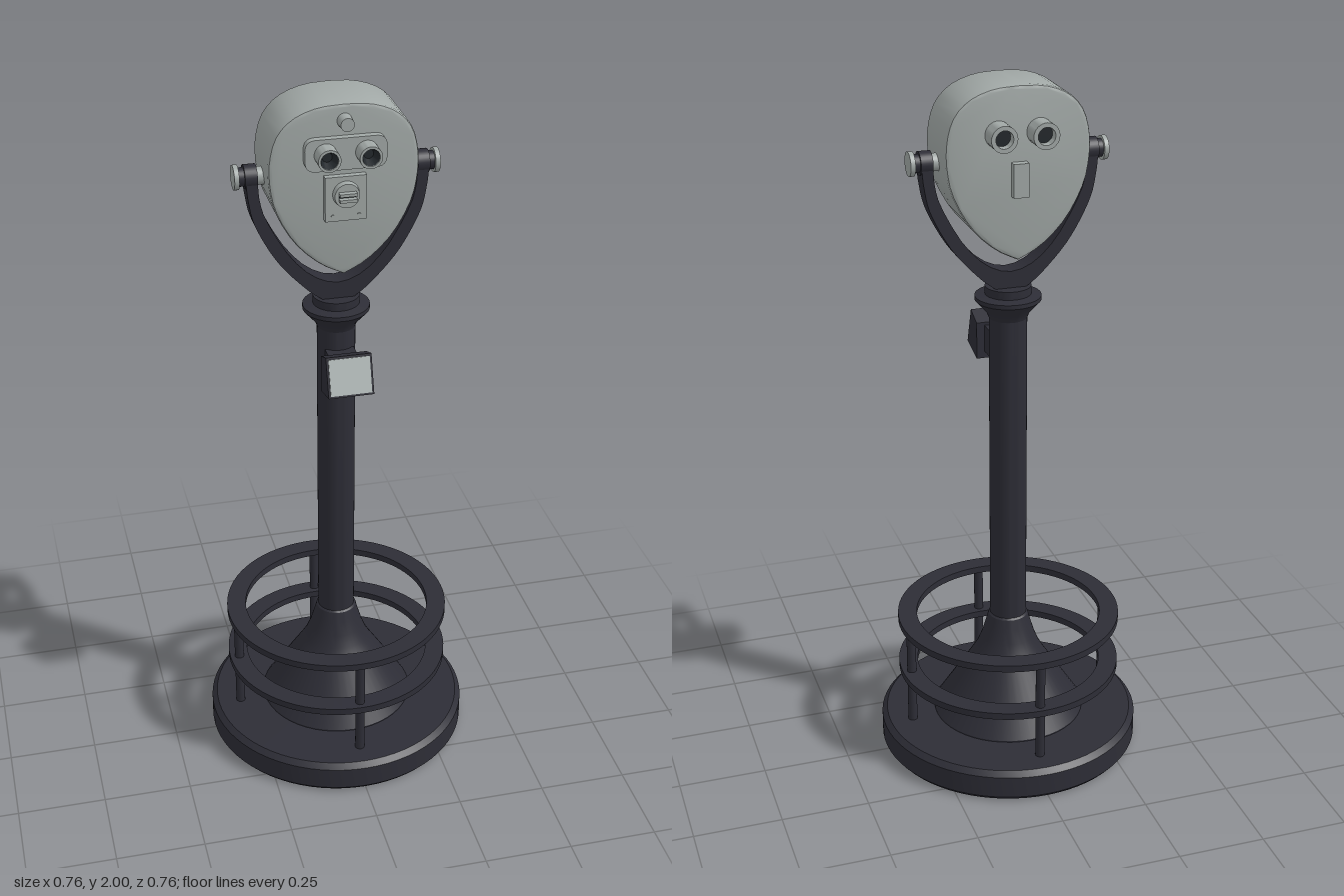
import * as THREE from 'three';
import { toCreasedNormals } from 'three/addons/utils/BufferGeometryUtils.js';

const iron = new THREE.MeshStandardMaterial({ color: 0x2d2d36 });
iron.name = 'dark painted iron';
const grey = new THREE.MeshStandardMaterial({ color: 0xa1a8a6 });
grey.name = 'grey painted metal';
const pale = new THREE.MeshStandardMaterial({ color: 0xb2bab9 });
pale.name = 'pale sign face';
const glass = new THREE.MeshStandardMaterial({ color: 0x23282c });
glass.name = 'dark glass';

const V = (x, y) => new THREE.Vector2(x, y);

export function createModel() {
  const model = new THREE.Group();
  model.name = 'coinViewer';

  function add(name, geo, mat, x = 0, y = 0, z = 0, parent = model) {
    const m = new THREE.Mesh(geo, mat);
    m.name = name;
    m.position.set(x, y, z);
    parent.add(m);
    return m;
  }
  const lathe = (pts, seg = 48) =>
    toCreasedNormals(new THREE.LatheGeometry(pts.map(p => V(...p)), seg), 0.5);
  const extrude = (shape, z0, z1, bevel = 0, seg = 16) => {
    const g = new THREE.ExtrudeGeometry(shape, {
      depth: z1 - z0 - 2 * bevel, curveSegments: seg, bevelEnabled: bevel > 0,
      bevelThickness: bevel, bevelSize: bevel, bevelOffset: -bevel, bevelSegments: 2,
    });
    g.translate(0, 0, z0 + bevel);
    return toCreasedNormals(g, 0.5);
  };
  // disc whose axis runs along z, from z0 to z1
  const discZ = (r, z0, z1, r2 = r) =>
    new THREE.CylinderGeometry(r2, r, z1 - z0, 32).rotateX(Math.PI / 2).translate(0, 0, (z0 + z1) / 2);

  // round base, flared foot, column and collar
  add('base', lathe([[0, 0], [0.37, 0], [0.38, 0.012], [0.38, 0.077], [0.365, 0.092], [0, 0.092]], 72), iron);
  add('foot', lathe([[0.222, 0.09], [0.222, 0.096], [0.106, 0.275], [0.092, 0.3], [0.078, 0.335],
    [0.066, 0.375], [0.058, 0.405], [0.053, 0.41]]), iron);
  add('column', lathe([[0.053, 0.38], [0.053, 1.42]], 40), iron);
  add('collar', lathe([[0.053, 1.335], [0.06, 1.352], [0.092, 1.388], [0.092, 1.4], [0.064, 1.405],
    [0.064, 1.428], [0, 1.428]]), iron);

  // foot rail: two flat rings on four posts
  for (const y of [0.247, 0.404]) {
    add('railRing', lathe([[0.27, -0.01], [0.325, -0.01], [0.325, 0.01], [0.27, 0.01], [0.27, -0.01]], 72), iron, 0, y);
  }
  for (let i = 0; i < 4; i++) {
    const a = i * Math.PI / 2;
    add('railPost', new THREE.CylinderGeometry(0.0135, 0.0135, 0.315, 16), iron,
      0.298 * Math.cos(a), 0.25, 0.298 * Math.sin(a));
  }

  // sign box with slanted face, on a bracket
  const sign = new THREE.Group();
  sign.name = 'signBox';
  model.add(sign);
  add('signBracket', new THREE.BoxGeometry(0.08, 0.078, 0.06), iron, 0, 1.242, 0.07, sign);
  const side = new THREE.Shape([V(-0.18, 1.205), V(-0.09, 1.183), V(-0.09, 1.29), V(-0.145, 1.312)]);
  add('signCase', extrude(side, -0.063, 0.063).rotateY(Math.PI / 2).scale(1, 1, 1), iron, 0, 0, 0, sign);
  const face = add('signFace', new THREE.BoxGeometry(0.114, 0.1, 0.004), pale, 0, 1.2585, 0.1635, sign);
  face.rotation.x = -Math.atan2(0.035, 0.107);

  // yoke
  const outer = [[0.245, 1.785], [0.24, 1.73], [0.222, 1.655], [0.165, 1.55], [0.09, 1.465], [0.04, 1.425]];
  const inner = [[0.214, 1.785], [0.21, 1.73], [0.192, 1.67], [0.135, 1.568], [0.07, 1.5], [0, 1.475]];
  const curve = pts => new THREE.SplineCurve(pts.map(p => V(...p))).getPoints(24);
  const mirror = pts => pts.map(p => [-p[0], p[1]]).reverse();
  add('yoke', extrude(new THREE.Shape([
    ...curve(mirror(outer).reverse()), ...curve(outer.slice().reverse()),
    ...curve([...inner, ...mirror(inner).slice(1)]),
  ]), -0.028, 0.028), iron);

  // pivots on both sides
  for (const s of [-1, 1]) {
    const pivot = new THREE.Group();
    pivot.name = s > 0 ? 'leftPivot' : 'rightPivot';
    model.add(pivot);
    const discX = (name, r, x0, x1, mat) =>
      add(name, new THREE.CylinderGeometry(r, r, x1 - x0, 32).rotateZ(Math.PI / 2), mat,
        s * (x0 + x1) / 2, 1.79, 0, pivot);
    discX('pivotShaft', 0.024, 0.18, 0.216, grey);
    discX('yokeBoss', 0.032, 0.214, 0.247, iron);
    discX('pivotWasher', 0.025, 0.247, 0.262, iron);
    discX('pivotCap', 0.033, 0.262, 0.275, grey);
  }

  // head: teardrop housing
  const head = new THREE.Group();
  head.name = 'head';
  model.add(head);
  const half = [[0, 2], [0.07, 1.995], [0.135, 1.97], [0.178, 1.925], [0.197, 1.86], [0.197, 1.79],
    [0.18, 1.715], [0.132, 1.628], [0.065, 1.562], [0, 1.527]];
  const rightSide = curve(half);
  const leftSide = rightSide.slice(1, -1).map(p => V(-p.x, p.y)).reverse();
  add('housing', extrude(new THREE.Shape([...rightSide, ...leftSide].reverse()), -0.093, 0.092, 0.009), grey, 0, 0, 0, head);

  // eyepiece plate
  const plate = new THREE.Shape();
  const [w, h, r] = [0.108, 0.043, 0.03];
  plate.moveTo(-w + r, -h).lineTo(w - r, -h).quadraticCurveTo(w, -h, w, -h + r)
    .lineTo(w, h - r).quadraticCurveTo(w, h, w - r, h)
    .lineTo(-w + r, h).quadraticCurveTo(-w, h, -w, h - r)
    .lineTo(-w, -h + r).quadraticCurveTo(-w, -h, -w + r, -h);
  add('eyepiecePlate', extrude(plate, 0.09, 0.112), grey, 0, 1.873, 0, head);

  // eyepieces in front, objectives behind
  const barrel = (rOut, rIn, len) => lathe([[rOut, 0], [rOut, len], [rIn, len], [rIn, 0.008]], 32);
  for (const s of [-1, 1]) {
    add('eyepiece', barrel(0.03, 0.023, 0.05).rotateX(Math.PI / 2), grey, s * 0.054, 1.875, 0.109, head);
    add('eyepieceCup', lathe([[0.0228, 0.047], [0.013, 0.02]], 32).rotateX(Math.PI / 2), glass, s * 0.054, 1.875, 0.109, head)
    add('eyepieceLens', discZ(0.022, 0.112, 0.126), glass, s * 0.054, 1.875, 0, head);
    add('objective', barrel(0.036, 0.024, 0.06).rotateX(-Math.PI / 2), grey, s * 0.057, 1.875, -0.09, head);
    add('objectiveLens', discZ(0.0238, -0.125, -0.095), glass, s * 0.057, 1.875, 0, head);
  }
  add('focusKnob', discZ(0.02, 0.09, 0.127, 0.018), grey, 0, 1.955, 0, head);

  // coin plate with dial and slot
  add('coinPlate', new THREE.BoxGeometry(0.11, 0.122, 0.02), grey, 0, 1.75, 0.1, head);
  add('coinDial', discZ(0.036, 0.108, 0.126, 0.033), grey, 0, 1.763, 0, head);
  for (const s of [-1, 1]) {
    add('coinSlotLip', new THREE.BoxGeometry(0.046, 0.008, 0.018), grey, 0, 1.763 + s * 0.008, 0.133, head);
  }
  add('coinSlot', new THREE.BoxGeometry(0.044, 0.006, 0.004), glass, 0, 1.763, 0.127, head);
  add('plateScrew', discZ(0.005, 0.108, 0.113), grey, 0.035, 1.703, 0, head);
  add('plateScrew', discZ(0.005, 0.108, 0.113), grey, -0.035, 1.703, 0, head);

  // rear plate
  add('rearBlock', new THREE.BoxGeometry(0.042, 0.092, 0.028), grey, 0, 1.752, -0.102, head);
  return model;
}
